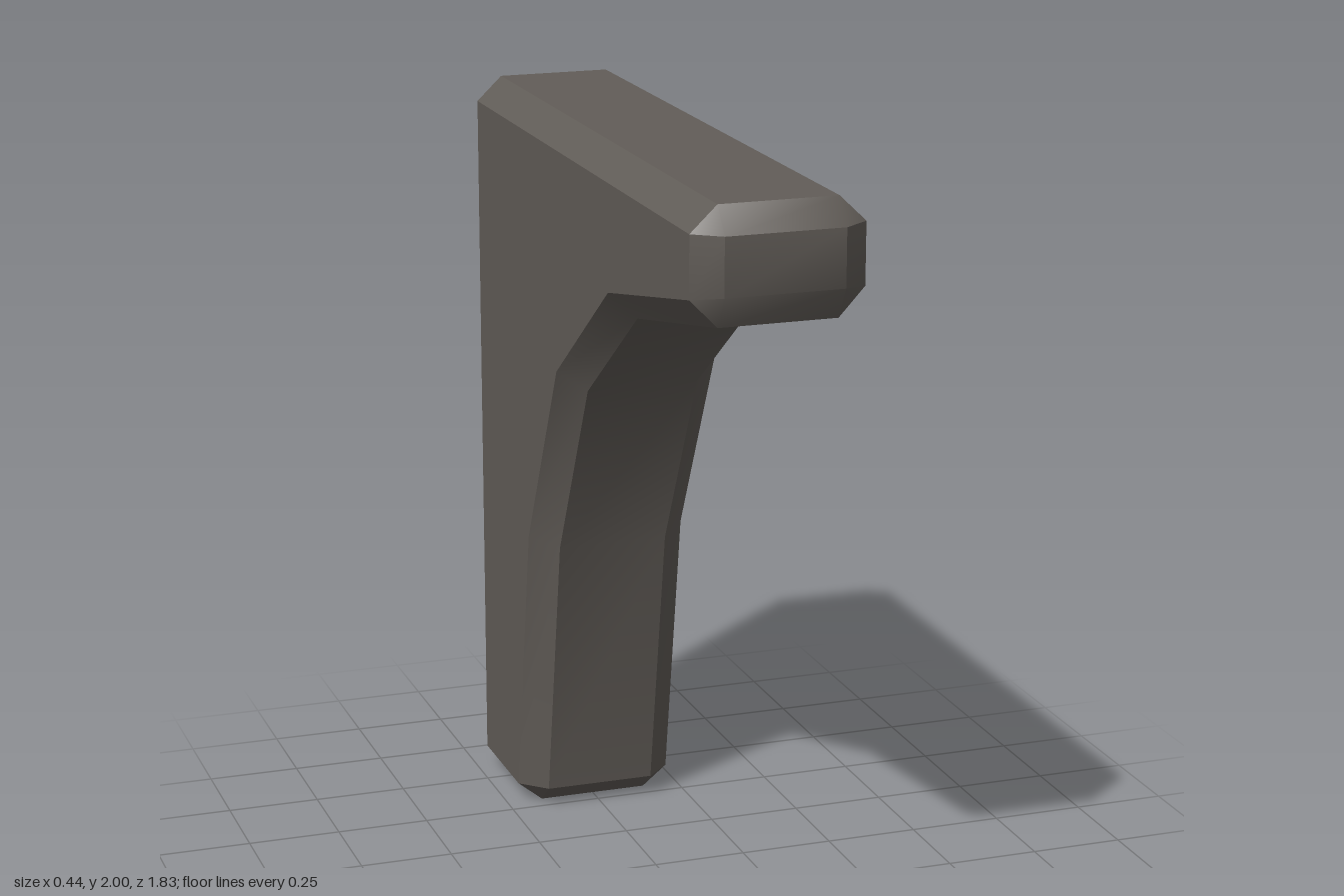
import * as THREE from 'three';
import { toCreasedNormals } from 'three/addons/utils/BufferGeometryUtils.js';

// Profile points: [z, y] on the outer outline, then [z, y] on the inset side face.
// Square corners are cut, so two outline points share one side point.
const PROFILE = [
  [-0.86, 0, -0.86, 0.055],
  [-0.55, 0, -0.55, 0.055],
  [-0.483, 0.055, -0.55, 0.055],
  [-0.36, 0.8, -0.425, 0.82],
  [-0.107, 1.305, -0.16, 1.35],
  [0.295, 1.595, 0.27, 1.66],
  [0.87, 1.71, 0.865, 1.78],
  [0.915, 1.79, 0.865, 1.78],
  [0.915, 1.935, 0.865, 1.935],
  [0.865, 2, 0.865, 1.935],
  [-0.86, 2, -0.86, 1.935],
  [-0.912, 1.935, -0.86, 1.935],
  [-0.912, 0.055, -0.86, 0.055],
];
const HALF_WIDTH = 0.218;
const HALF_FLAT = 0.15;

function bracketGeometry() {
  const outline = PROFILE.map(([z, y]) => new THREE.Vector2(z, y));
  const side = PROFILE.map(([, , z, y]) => new THREE.Vector2(z, y));
  const ring = (points, x) => points.map((p) => new THREE.Vector3(x, p.y, p.x));
  const rings = [
    ring(side, -HALF_WIDTH), ring(outline, -HALF_FLAT),
    ring(outline, HALF_FLAT), ring(side, HALF_WIDTH),
  ];

  const corners = [];
  const triangle = (a, b, c) => {
    if (a.equals(b) || b.equals(c) || c.equals(a)) return; // collapsed at a cut corner
    corners.push(a, b, c);
  };

  // Bevels and the centre band
  const n = PROFILE.length;
  for (let i = 0; i < 3; i++) {
    for (let j = 0; j < n; j++) {
      const k = (j + 1) % n;
      const [a, b, c, d] = [rings[i][j], rings[i][k], rings[i + 1][k], rings[i + 1][j]];
      triangle(a, d, c);
      triangle(a, c, b);
    }
  }

  // Flat side faces
  const cap = side.filter((p, j) => !p.equals(side[(j + 1) % n]));
  const right = ring(cap, -HALF_WIDTH);
  const left = ring(cap, HALF_WIDTH);
  for (const [a, b, c] of THREE.ShapeUtils.triangulateShape(cap, [])) {
    triangle(right[a], right[b], right[c]);
    triangle(left[a], left[c], left[b]);
  }

  // Smooth along the curved underside, sharp at every bevel
  const geometry = new THREE.BufferGeometry().setFromPoints(corners);
  return toCreasedNormals(geometry, 0.53);
}

export function createModel() {
  const stone = new THREE.MeshStandardMaterial({ color: 0x625d58 });
  stone.name = 'dark stone';
  const bracket = new THREE.Mesh(bracketGeometry(), stone);
  bracket.name = 'bracket';
  const model = new THREE.Group();
  model.name = 'corbel';
  model.add(bracket);
  return model;
}
